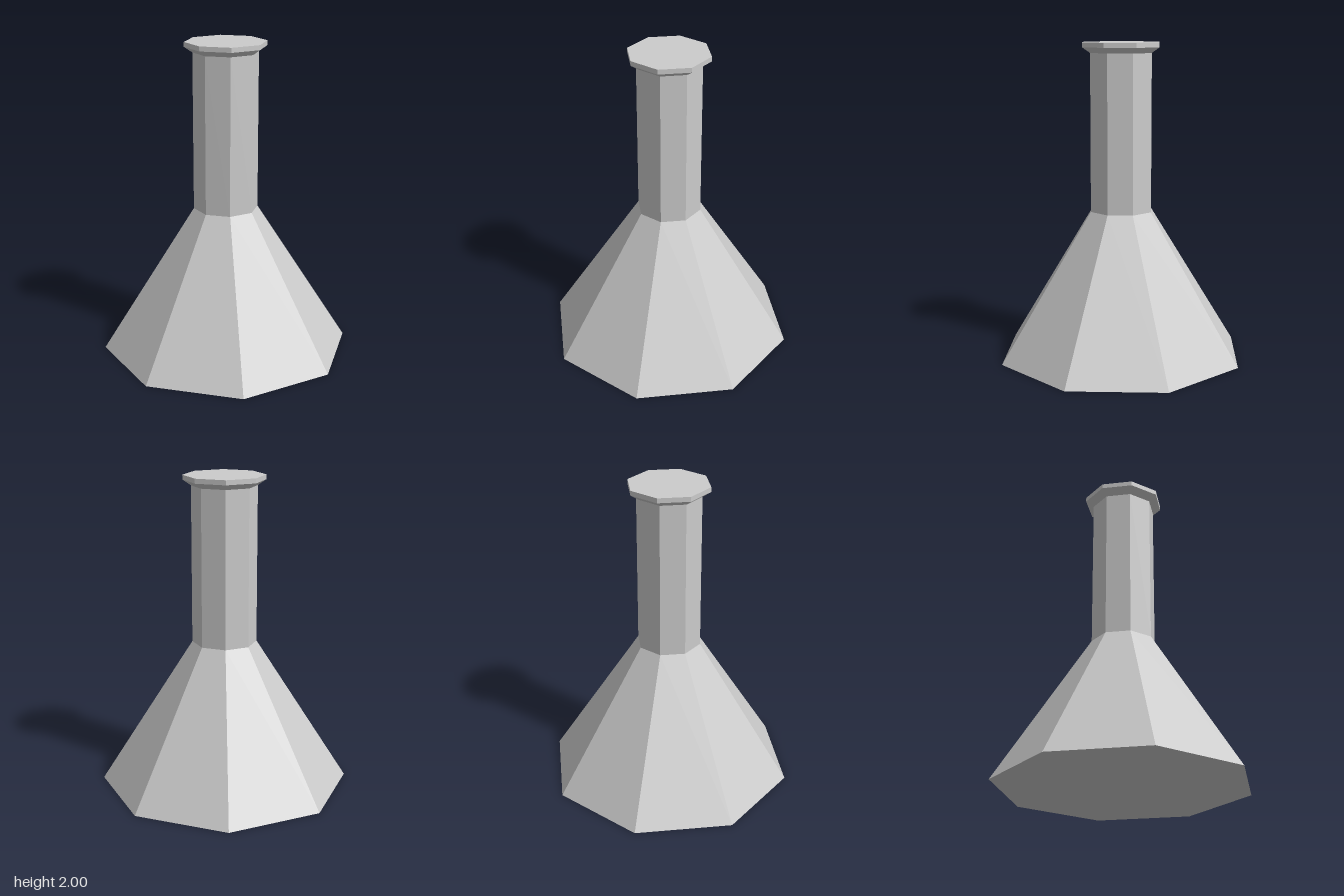
import * as THREE from 'three';

const SIDES = 8;
const NECK_R = 0.205, LIP_R = 0.257;
const SHOULDER_Y = 0.94, LIP_Y = 1.935;

export function createModel() {
  const flask = new THREE.Group();
  flask.name = 'flask';
  const material = new THREE.MeshStandardMaterial({ color: 0xcccccc, flatShading: true });

  // Faceted part turned from a [radius, height] profile, listed bottom to top
  function turned(name, profile) {
    const points = profile.map(([r, y]) => new THREE.Vector2(r, y));
    const mesh = new THREE.Mesh(new THREE.LatheGeometry(points, SIDES), material);
    mesh.name = name;
    flask.add(mesh);
  }

  // Closed base and sloping sides
  turned('body', [[0, 0], [0.8, 0], [NECK_R, SHOULDER_Y]]);
  // Straight neck
  turned('neck', [[NECK_R, SHOULDER_Y], [NECK_R, LIP_Y]]);
  // Flared lip with a flat closed top
  turned('lip', [[NECK_R, LIP_Y], [LIP_R, 1.97], [LIP_R, 2], [0, 2]]);

  return flask;
}
